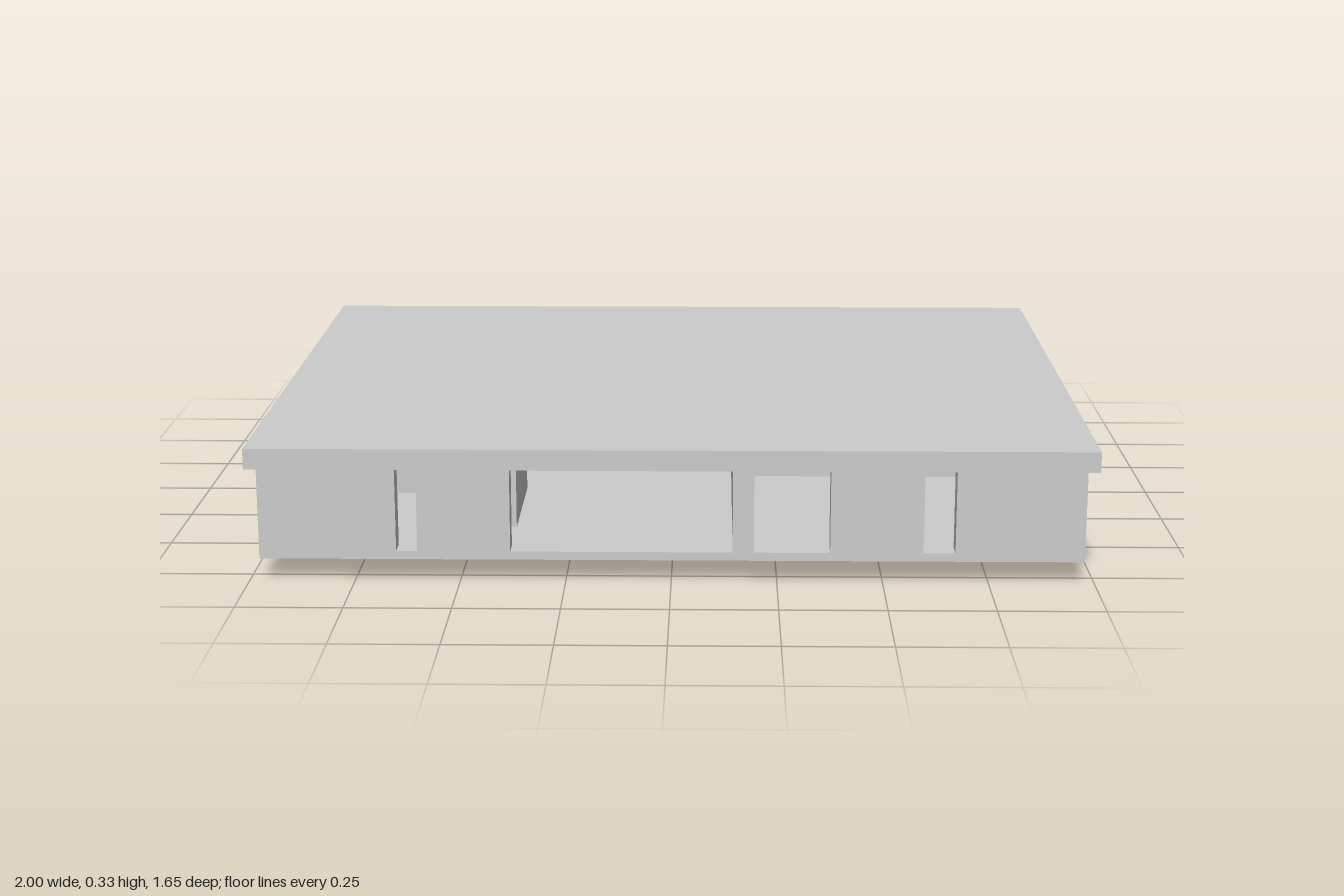
import * as THREE from 'three';

const FLOOR = 0.075, CEILING = 0.28;
const HALF_X = 0.975, HALF_Z = 0.8, THICK = 0.05;

export function createModel() {
  const model = new THREE.Group();
  model.name = 'pavilion';
  const material = new THREE.MeshStandardMaterial({ color: 0xcccccc, flatShading: true });

  // Box given by its lower and upper limits on each axis
  function block(name, [x0, x1], [y0, y1], [z0, z1], parent = model) {
    const mesh = new THREE.Mesh(new THREE.BoxGeometry(x1 - x0, y1 - y0, z1 - z0), material);
    mesh.position.set((x0 + x1) / 2, (y0 + y1) / 2, (z0 + z1) / 2);
    mesh.name = name;
    parent.add(mesh);
  }

  // Full-height wall running along an axis, interrupted by openings in ascending order
  function wall(name, axis, run, across, openings = []) {
    const group = new THREE.Group();
    group.name = name;
    let start = run[0];
    for (const [from, to] of [...openings, [run[1], run[1]]]) {
      if (from - start > 0.001) {
        const piece = [start, from];
        block('wallPiece', axis === 'x' ? piece : across, [FLOOR, CEILING],
          axis === 'x' ? across : piece, group);
      }
      start = to;
    }
    model.add(group);
  }

  // Horizontal slabs and the small base
  block('roof', [-1, 1], [CEILING, 0.33], [-0.825, 0.825]);
  block('floor', [-HALF_X, HALF_X], [0.055, FLOOR], [-HALF_Z, HALF_Z]);
  block('base', [-0.3, 0.02], [0, 0.055], [-0.5, -0.17]);

  // Outer walls
  const wide = [-HALF_X, HALF_X];
  const deep = [-HALF_Z + THICK, HALF_Z - THICK];
  wall('frontWall', 'x', wide, [HALF_Z - THICK, HALF_Z],
    [[-0.65, -0.6], [-0.38, 0.145], [0.195, 0.375], [0.595, 0.67]]);
  wall('backWall', 'x', wide, [-HALF_Z, -HALF_Z + THICK],
    [[-0.855, -0.77], [-0.655, -0.58], [-0.55, -0.475], [-0.355, 0.17], [0.325, 0.375], [0.495, 0.85]]);
  wall('leftWall', 'z', deep, [HALF_X - THICK, HALF_X],
    [[-0.525, -0.5], [-0.45, -0.4], [-0.275, 0.08], [0.125, 0.475], [0.6, 0.68]]);
  wall('rightWall', 'z', deep, [-HALF_X, -HALF_X + THICK],
    [[-0.485, -0.32], [-0.235, -0.04], [0.02, 0.25], [0.49, 0.67]]);

  // Partitions running front to back
  wall('frontRoomPartition', 'z', [0.08, 0.75], [0.145, 0.195], [[0.25, 0.325]]);
  wall('frontHallPartition', 'z', [0.25, 0.6], [-0.43, -0.38]);
  wall('backRoomPartition', 'z', [-0.75, -0.275], [0.17, 0.22]);
  wall('backHallPartition', 'z', [-0.75, -0.3], [-0.405, -0.355]);

  // Partitions running side to side
  wall('leftFrontPartition', 'x', [0.195, 0.925], [0.08, 0.125]);
  wall('leftBackPartition', 'x', [0.22, 0.925], [-0.325, -0.275]);
  wall('rightFrontPartition', 'x', [-0.925, -0.43], [0.25, 0.3]);
  wall('rightMiddlePartition', 'x', [-0.925, -0.43], [-0.04, 0.02]);

  return model;
}
